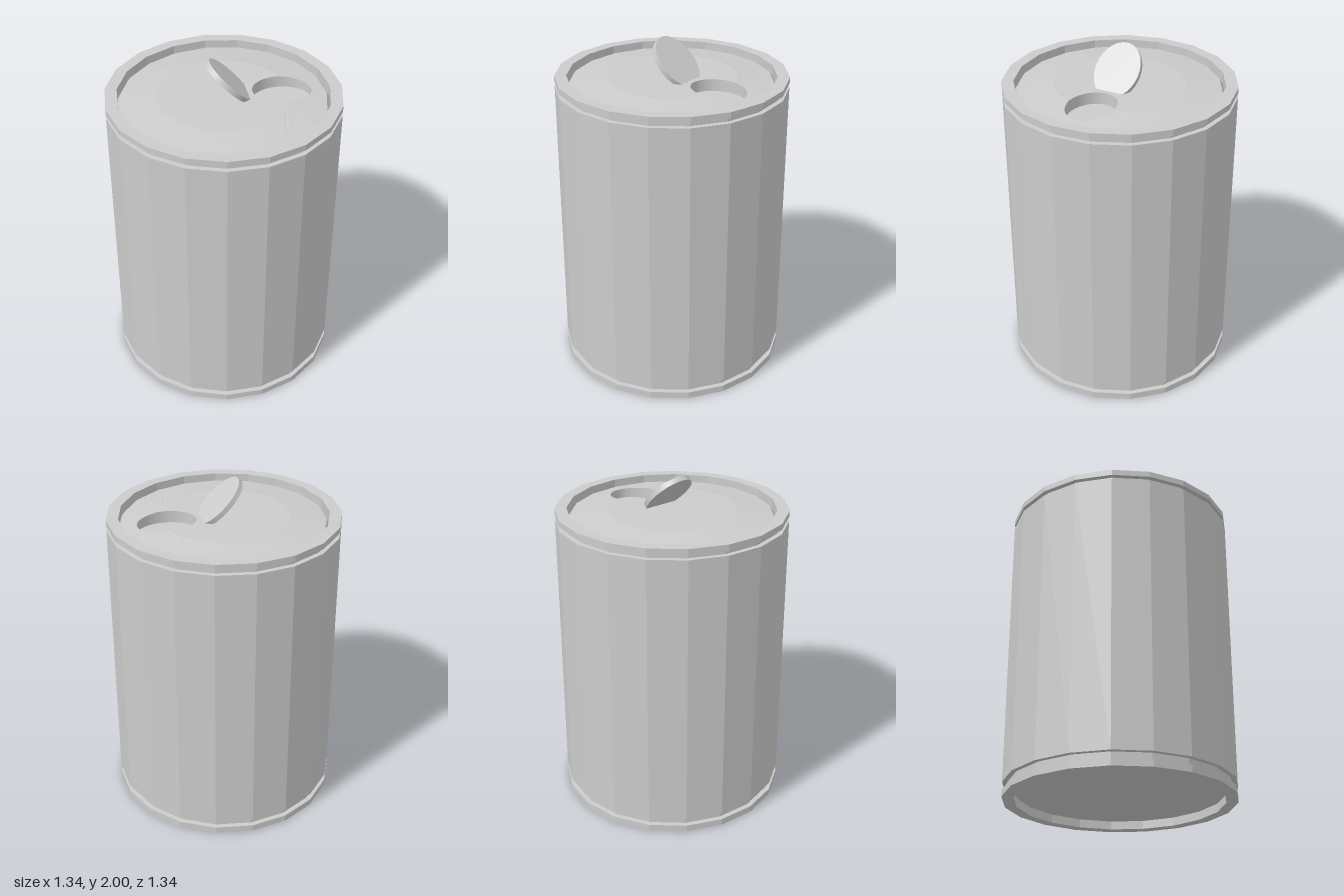
import * as THREE from 'three';

const SIDES = 19;
const HOLE = { x: 0.335, rx: 0.17, rz: 0.135, floor: 1.715 };
const LID = { outer: 0.588, inner: 0.38, low: 1.76, high: 1.785 };
const STEP = (Math.PI * 2) / SIDES;
const COS = Math.cos(STEP / 2);

// Outward directions of the can's flat sides (a corner points to -z)
const sideDirs = Array.from({ length: SIDES }, (_, k) => {
  const a = Math.PI + (k + 0.5) * STEP;
  return [Math.sin(a), Math.cos(a)];
});

// Corner radius of the concentric 19-sided outline passing through (x, z)
const outlineRadius = (x, z) => Math.max(...sideDirs.map(([nx, nz]) => nx * x + nz * z)) / COS;

// Distance from the hole centre along (dx, dz) to the outline of a given radius
function reach(dx, dz, radius) {
  let best = Infinity;
  for (const [nx, nz] of sideDirs) {
    const d = nx * dx + nz * dz;
    if (d > 1e-6) best = Math.min(best, (radius * COS - nx * HOLE.x) / d);
  }
  return best;
}

// Low dome: flat in the middle, sloping down to the rim
function lidHeight(x, z) {
  const t = (LID.outer - outlineRadius(x, z)) / (LID.outer - LID.inner);
  return THREE.MathUtils.lerp(LID.low, LID.high, THREE.MathUtils.clamp(t, 0, 1));
}

// Surface joining rings of points; spoke(angle) lists points from inside to outside
function loft(spoke, angles) {
  const pos = [];
  const index = [];
  const spokes = angles.map(spoke);
  const n = spokes[0].length;
  spokes.forEach((points) => points.forEach((p) => pos.push(...p)));
  for (let i = 0; i < spokes.length; i++) {
    const a = i * n;
    const b = ((i + 1) % spokes.length) * n;
    for (let j = 0; j < n - 1; j++) {
      index.push(a + j, b + j, a + j + 1, b + j, b + j + 1, a + j + 1);
    }
  }
  const geo = new THREE.BufferGeometry();
  geo.setAttribute('position', new THREE.Float32BufferAttribute(pos, 3));
  geo.setIndex(index);
  geo.computeVertexNormals();
  return geo;
}

export function createModel() {
  const model = new THREE.Group();
  model.name = 'drinkCan';
  const faceted = new THREE.MeshStandardMaterial({ color: 0xcccccc, flatShading: true, side: THREE.DoubleSide });
  const smooth = new THREE.MeshStandardMaterial({ color: 0xcccccc, side: THREE.DoubleSide });

  const add = (name, geometry, material) => {
    const mesh = new THREE.Mesh(geometry, material);
    mesh.name = name;
    mesh.position.z = 0.004;
    model.add(mesh);
    return mesh;
  };
  const lathe = (name, points) => add(name, new THREE.LatheGeometry(
    points.map(([r, y]) => new THREE.Vector2(r, y)), SIDES, Math.PI, Math.PI * 2), faceted);

  // Recessed base with its rim and the neck above it
  lathe('base', [[0, 0.05], [0.605, 0.05], [0.605, 0], [0.674, 0], [0.674, 0.04], [0.645, 0.04], [0.645, 0.085]]);
  // Main wall
  lathe('body', [[0.645, 0.085], [0.674, 0.085], [0.674, 1.737], [0.645, 1.737]]);
  // Upper neck, rim and the gutter around the lid
  lathe('topRim', [[0.645, 1.737], [0.645, 1.765], [0.674, 1.765], [0.674, 1.8], [0.605, 1.8],
    [0.605, 1.735], [LID.outer, LID.low]]);

  // Angles seen from the hole, with extra spokes through every lid corner
  const angles = Array.from({ length: 64 }, (_, i) => (i / 64) * Math.PI * 2);
  for (const r of [LID.outer, LID.inner]) {
    for (let k = 0; k < SIDES; k++) {
      const a = Math.PI + k * STEP;
      const t = Math.atan2(r * Math.sin(a) - HOLE.x, r * Math.cos(a));
      angles.push((t + Math.PI * 2) % (Math.PI * 2));
    }
  }
  angles.sort((a, b) => a - b);

  const holeEdge = (dx, dz) => 1 / Math.hypot(dx / HOLE.rx, dz / HOLE.rz);
  const along = (dx, dz, s) => [HOLE.x + dx * s, dz * s];

  // Domed lid around the drinking hole
  add('lid', loft((t) => {
    const dx = Math.sin(t), dz = Math.cos(t);
    const edge = holeEdge(dx, dz);
    const kink = Math.max(edge, reach(dx, dz, LID.inner));
    return [edge, kink, reach(dx, dz, LID.outer)].map((s) => {
      const [x, z] = along(dx, dz, s);
      return [x, lidHeight(x, z), z];
    });
  }, angles), faceted);

  // Drinking hole: wall and floor
  add('drinkingHole', loft((t) => {
    const dx = Math.sin(t), dz = Math.cos(t);
    const [x, z] = along(dx, dz, holeEdge(dx, dz));
    return [[HOLE.x, HOLE.floor, 0], [x, HOLE.floor, z], [x, lidHeight(x, z), z]];
  }, angles), faceted);

  // Oval tab, folded up at 45 degrees
  const tab = add('openingTab', new THREE.CylinderGeometry(1, 1, 1, 40), smooth);
  tab.scale.set(HOLE.rx, 0.03, HOLE.rz);
  tab.rotation.z = -Math.PI / 4;
  tab.position.set(0.03, 1.869, 0);

  return model;
}
